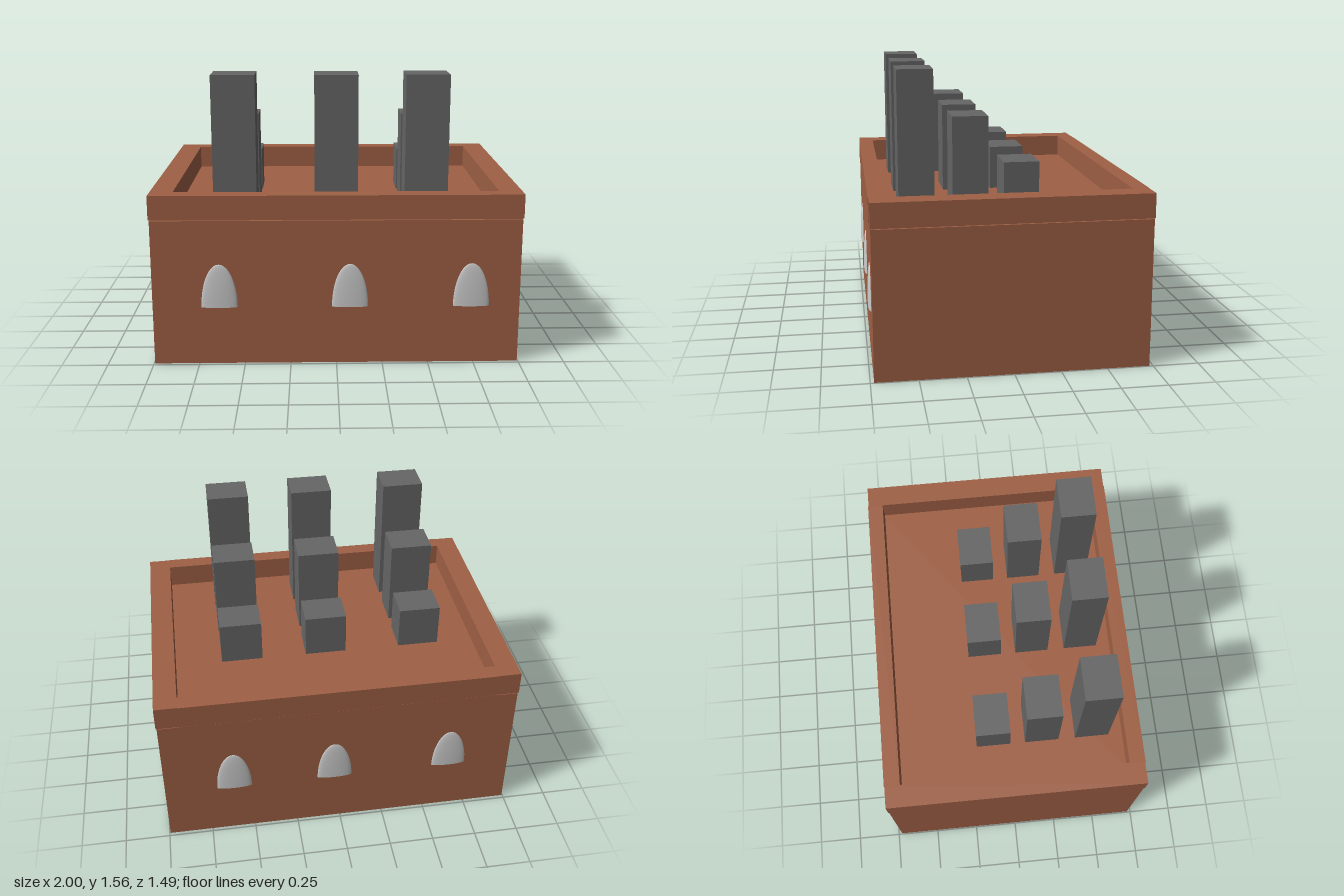
import * as THREE from 'three';

export function createModel() {
  const group = new THREE.Group();
  const brick = new THREE.MeshStandardMaterial({ color: 0x9f6045 });
  const stack = new THREE.MeshStandardMaterial({ color: 0x666666 });
  const glass = new THREE.MeshStandardMaterial({ color: 0xcccccc, side: THREE.DoubleSide });

  // Box given by its min and max corners
  const box = (name, material, [x0, y0, z0], [x1, y1, z1]) => {
    const mesh = new THREE.Mesh(new THREE.BoxGeometry(x1 - x0, y1 - y0, z1 - z0), material);
    mesh.position.set((x0 + x1) / 2, (y0 + y1) / 2, (z0 + z1) / 2);
    mesh.name = name;
    group.add(mesh);
  };

  // Main block with a flat roof
  box('building', brick, [-0.995, 0, -0.73], [0.995, 0.807, 0.73]);

  // Raised parapet around the roof
  const low = 0.812, high = 0.945;
  box('parapetFront', brick, [-0.875, low, 0.645], [0.875, high, 0.735]);
  box('parapetBack', brick, [-0.875, low, -0.735], [0.875, high, -0.645]);
  box('parapetLeft', brick, [0.875, low, -0.732], [1, high, 0.732]);
  box('parapetRight', brick, [-1, low, -0.732], [-0.875, high, 0.732]);

  // Three rows of chimneys, rising towards the front
  const rows = [[-0.103, 1.053], [0.177, 1.307], [0.468, 1.56]];
  for (const [z, top] of rows) {
    for (const x of [-0.55, 0.002, 0.492]) {
      box('chimney', stack, [x - 0.118, 0.805, z - 0.097], [x + 0.118, top, z + 0.097]);
    }
  }

  // Arched windows: shallow quarter ellipsoids with a flat sill
  const dome = new THREE.SphereGeometry(1, 32, 16, Math.PI, Math.PI, 0, Math.PI / 2);
  dome.rotateY(Math.PI); // bulge towards +z
  const sill = new THREE.CircleGeometry(1, 32, 0, Math.PI);
  sill.rotateX(Math.PI / 2);
  const addWindow = (x, side) => {
    const win = new THREE.Group();
    win.name = 'window';
    const pane = new THREE.Mesh(dome, glass);
    pane.name = 'windowPane';
    const base = new THREE.Mesh(sill, glass);
    base.name = 'windowSill';
    win.add(pane, base);
    win.scale.set(0.098, 0.24, 0.015);
    win.position.set(x, 0.325, side * 0.73);
    if (side < 0) win.rotation.y = Math.PI;
    group.add(win);
  };
  for (const x of [-0.633, 0.073, 0.73]) addWindow(x, 1);
  for (const x of [-0.633, 0.033, 0.605]) addWindow(x, -1);

  return group;
}
